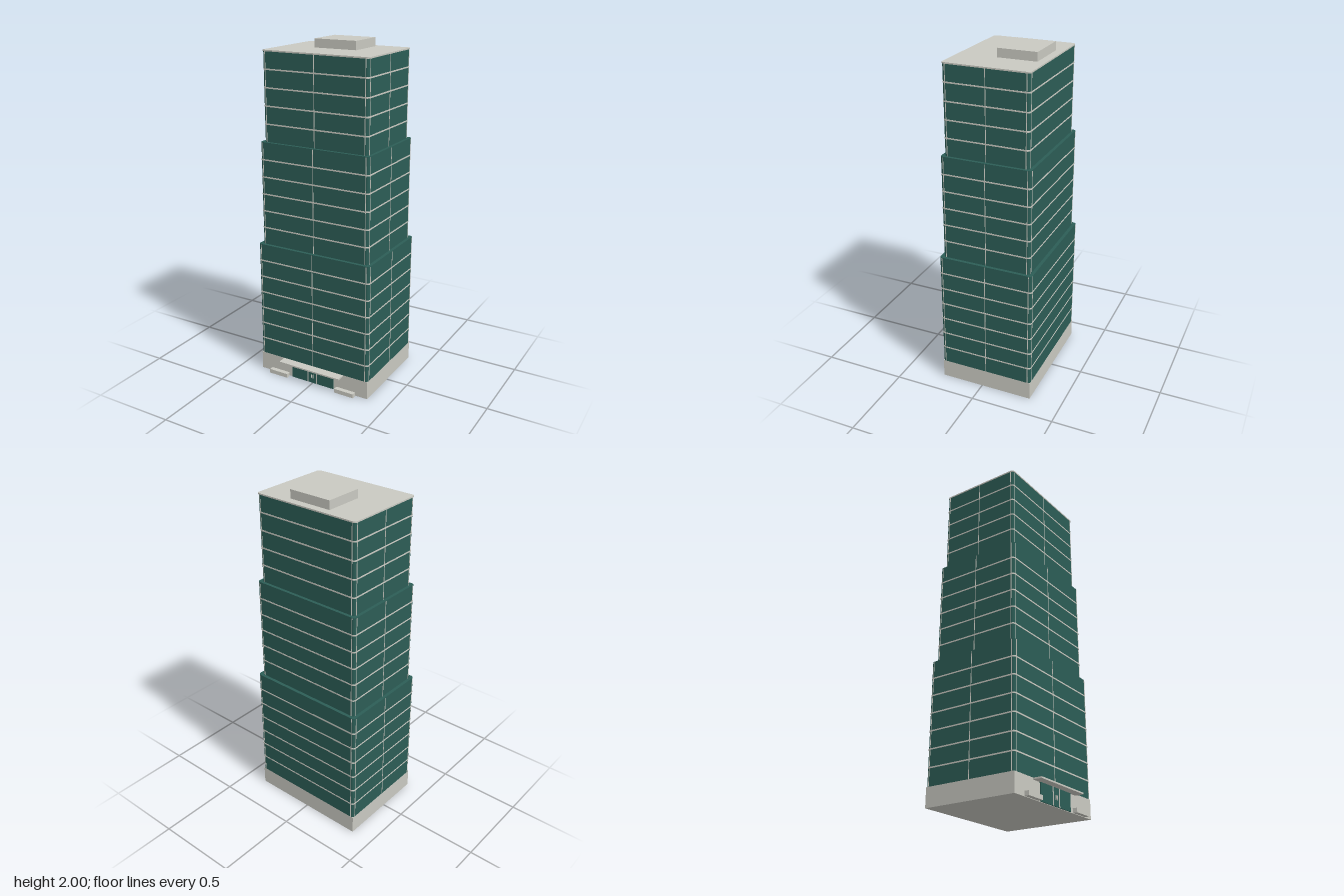
import * as THREE from 'three';

const glass = new THREE.MeshStandardMaterial({ color: 0x2c5d56 });
glass.name = 'green glass';
const stone = new THREE.MeshStandardMaterial({ color: 0xc9c9c1 });
stone.name = 'pale stone';

const CZ = -0.026; // depth centre of the tower
const FLOOR = 0.102;

function box(parent, name, mat, x0, x1, y0, y1, z0, z1) {
  const mesh = new THREE.Mesh(new THREE.BoxGeometry(x1 - x0, y1 - y0, z1 - z0), mat);
  mesh.position.set((x0 + x1) / 2, (y0 + y1) / 2, (z0 + z1) / 2);
  mesh.name = name;
  parent.add(mesh);
  return mesh;
}

// Horizontal slab with rounded corners
function slab(parent, name, mat, hw, hd, r, y0, y1) {
  const s = new THREE.Shape();
  s.moveTo(-hw + r, -hd);
  s.lineTo(hw - r, -hd);
  s.absarc(hw - r, -hd + r, r, -Math.PI / 2, 0);
  s.absarc(hw - r, hd - r, r, 0, Math.PI / 2);
  s.absarc(-hw + r, hd - r, r, Math.PI / 2, Math.PI);
  s.absarc(-hw + r, -hd + r, r, Math.PI, Math.PI * 1.5);
  const geo = new THREE.ExtrudeGeometry(s, { depth: y1 - y0, bevelEnabled: false, curveSegments: 4 });
  geo.rotateX(-Math.PI / 2);
  const mesh = new THREE.Mesh(geo, mat);
  mesh.position.set(0, y0, CZ);
  mesh.name = name;
  parent.add(mesh);
}

// One setback: glass body, floor bands and slim mullions
function tier(name, hw, hd, y0, floors) {
  const g = new THREE.Group();
  g.name = name;
  const y1 = y0 + floors * FLOOR, r = 0.018, t = 0.0015, w = 0.002;
  slab(g, 'glassBody', glass, hw, hd, r, y0, y1);
  for (let i = 1; i < floors; i++) {
    const y = y0 + i * FLOOR;
    slab(g, 'floorBand', stone, hw + t, hd + t, r, y - 0.004, y + 0.004);
  }
  const front = CZ + hd;
  for (const x of [-hw + r, 0, hw - r]) {
    box(g, 'frontMullion', stone, x - w, x + w, y0, y1 - 0.003, front - 0.004, front + t);
  }
  for (const side of [-1, 1]) {
    const back = CZ - hd, xb = side * (hw - r);
    box(g, 'backCornerMullion', stone, xb - w, xb + w, y0, y1 - 0.003, back - t, back + 0.004);
    for (const z of [CZ - hd + r, CZ, CZ + hd - r]) {
      const x = side * (hw - 0.001);
      box(g, 'sideMullion', stone, x - 0.0025, x + 0.0025, y0, y1 - 0.003, z - w, z + w);
    }
  }
  return g;
}

export function createModel() {
  const tower = new THREE.Group();
  tower.name = 'officeTower';

  // Ground floor
  box(tower, 'base', stone, -0.366, 0.366, 0, 0.111, CZ - 0.283, CZ + 0.283);

  // Three stepped glass tiers
  let y = 0.111;
  [
    ['lowerTier', 0.367, 0.284, 7],
    ['middleTier', 0.348, 0.265, 6],
    ['upperTier', 0.33, 0.247, 5],
  ].forEach(([name, hw, hd, floors]) => {
    tower.add(tier(name, hw, hd, y, floors));
    y += floors * FLOOR;
  });

  // Roof and plant room
  slab(tower, 'roofSlab', stone, 0.332, 0.249, 0.018, y - 0.005, y + 0.003);
  box(tower, 'plantRoom', stone, -0.132, 0.132, y + 0.002, 2, -0.23, -0.004);

  // Entrance
  const entrance = new THREE.Group();
  entrance.name = 'entrance';
  tower.add(entrance);
  box(entrance, 'entranceGlass', glass, -0.143, 0.143, 0.002, 0.101, 0.255, 0.264);
  for (const x of [-0.03, 0.03]) {
    box(entrance, 'doorFrame', stone, x - 0.0025, x + 0.0025, 0.002, 0.101, 0.262, 0.267);
  }
  for (const x of [-0.006, 0.006]) {
    box(entrance, 'doorHandle', stone, x - 0.001, x + 0.001, 0.035, 0.06, 0.262, 0.27);
  }
  box(entrance, 'canopy', stone, -0.205, 0.205, 0.101, 0.11, 0.25, 0.31);
  for (const side of [-1, 1]) {
    const x = side * 0.2275;
    box(entrance, 'planter', stone, x - 0.0625, x + 0.0625, 0, 0.025, 0.263, 0.29);
  }
  return tower;
}
